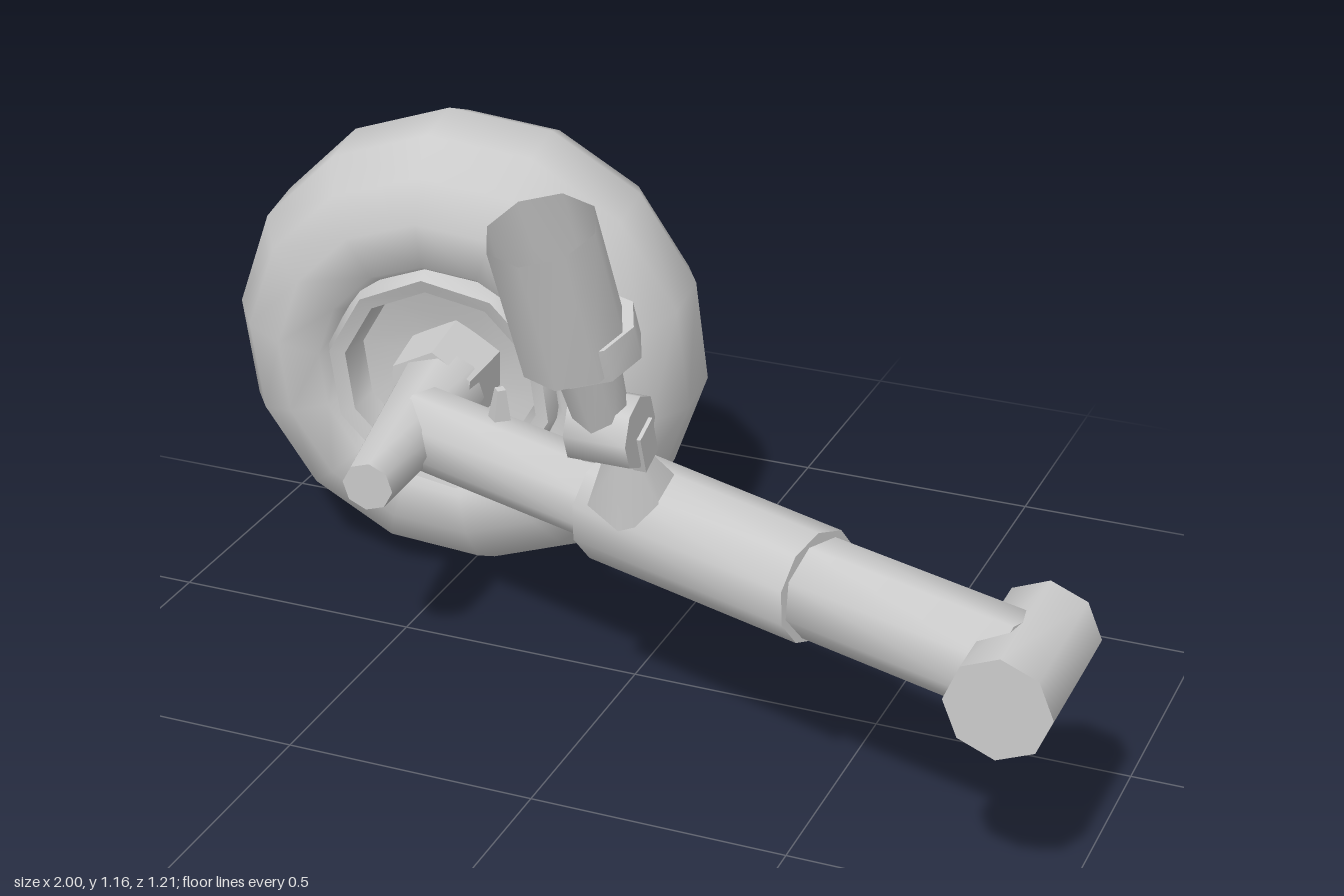
import * as THREE from 'three';
import { toCreasedNormals } from 'three/addons/utils/BufferGeometryUtils.js';

const grey = new THREE.MeshStandardMaterial({ color: 0xcccccc, side: THREE.DoubleSide });
const V = (x, y, z) => new THREE.Vector3(x, y, z);
const UP = V(0, 1, 0);

function addMesh(group, name, geometry, crease = 0.9) {
  const mesh = new THREE.Mesh(toCreasedNormals(geometry, crease), grey);
  mesh.name = name;
  group.add(mesh);
  return mesh;
}

// Round bar between two points, with its own radius at each end
function bar(group, name, from, to, r0, r1 = r0, sides = 8, open = false) {
  const dir = to.clone().sub(from);
  const mesh = addMesh(group, name, new THREE.CylinderGeometry(r1, r0, dir.length(), sides, 1, open), 1);
  mesh.position.copy(from).lerp(to, 0.5);
  mesh.quaternion.setFromUnitVectors(UP, dir.normalize());
  return mesh;
}

// Lathe profile of [radius, height] pairs
function lathe(points, sides) {
  return new THREE.LatheGeometry(points.map(([r, y]) => new THREE.Vector2(r, y)), sides);
}

export function createModel() {
  const model = new THREE.Group();
  model.name = 'suspensionArmWithWheel';

  // Wheel, turned and leaning slightly; local +y is its outer (rear) side
  const wheel = new THREE.Group();
  wheel.name = 'wheel';
  wheel.position.set(-0.515, 0.488, -0.375);
  wheel.quaternion.setFromUnitVectors(UP, V(-0.1, 0.08, -1).normalize());
  model.add(wheel);
  addMesh(wheel, 'tyre', lathe([
    [0.235, -0.17], [0.26, -0.205], [0.35, -0.2], [0.43, -0.155], [0.483, -0.07],
    [0.486, 0.06], [0.44, 0.155], [0.35, 0.195], [0.27, 0.195], [0.235, 0.16],
  ], 14), 1.2);
  addMesh(wheel, 'rim', lathe([
    [0, -0.11], [0.1, -0.12], [0.19, -0.14], [0.205, -0.205], [0.235, -0.215], [0.25, -0.18],
    [0.25, 0.17], [0.24, 0.205], [0.215, 0.2], [0.2, 0.15], [0.17, 0.13], [0.05, 0.03], [0, 0.03],
  ], 10));
  const hub = addMesh(wheel, 'hubNut', new THREE.BoxGeometry(0.06, 0.05, 0.06));
  hub.position.y = 0.04;

  // Axle stub carrying the wheel, tapering toward the front
  bar(model, 'axleFlange', V(-0.5, 0.475, -0.28), V(-0.49, 0.47, -0.12), 0.11, 0.095, 6);
  bar(model, 'axleStub', V(-0.485, 0.47, -0.16), V(-0.44, 0.45, 0.26), 0.09, 0.05, 8);

  // Main arm: thin rod, wide sleeve, outer tube
  bar(model, 'armRod', V(-0.45, 0.46, 0.0), V(0.08, 0.46, 0.18), 0.082);
  bar(model, 'armSleeve', V(0.02, 0.46, 0.16), V(0.49, 0.462, 0.33), 0.112, 0.108, 10);
  bar(model, 'armTube', V(0.46, 0.46, 0.32), V(0.9, 0.455, 0.46), 0.095);

  // Cross bushing at the far end
  bar(model, 'endBushing', V(0.903, 0.447, 0.3), V(0.903, 0.447, 0.6), 0.097);

  // Bracket, joint and shock absorber above the sleeve
  bar(model, 'shockBracket', V(0.1, 0.53, 0.24), V(0.1, 0.645, 0.295), 0.09, 0.035, 6);
  bar(model, 'jointPin', V(0.1, 0.61, 0.28), V(0.095, 0.7, 0.31), 0.03, 0.03, 6);
  bar(model, 'jointEye', V(0.025, 0.7, 0.325), V(0.145, 0.7, 0.325), 0.07, 0.07, 8);
  [-1, 1].forEach((s) => {
    const fork = addMesh(model, 'jointFork', new THREE.BoxGeometry(0.025, 0.08, 0.06));
    fork.position.set(0.09 + s * 0.05, 0.665, 0.3);
    fork.rotation.x = 0.35;
  });
  bar(model, 'shockRod', V(0.08, 0.7, 0.33), V(0.06, 0.9, 0.395), 0.05, 0.066);
  bar(model, 'shockCollar', V(0.075, 0.865, 0.383), V(0.068, 0.93, 0.402), 0.098, 0.098);
  bar(model, 'shockBody', V(0.055, 0.87, 0.4), V(0.028, 1.13, 0.485), 0.102, 0.102, 8, true);
  bar(model, 'shockFloor', V(0.055, 0.87, 0.4), V(0.054, 0.88, 0.403), 0.1, 0.1, 8);

  // Small pointed tabs on the rod and the axle
  bar(model, 'rodTab', V(-0.26, 0.53, 0.05), V(-0.255, 0.6, 0.055), 0.025, 0.012, 4);
  bar(model, 'axleTab', V(-0.53, 0.4, -0.07), V(-0.57, 0.335, -0.105), 0.04, 0.006, 4);

  return model;
}
